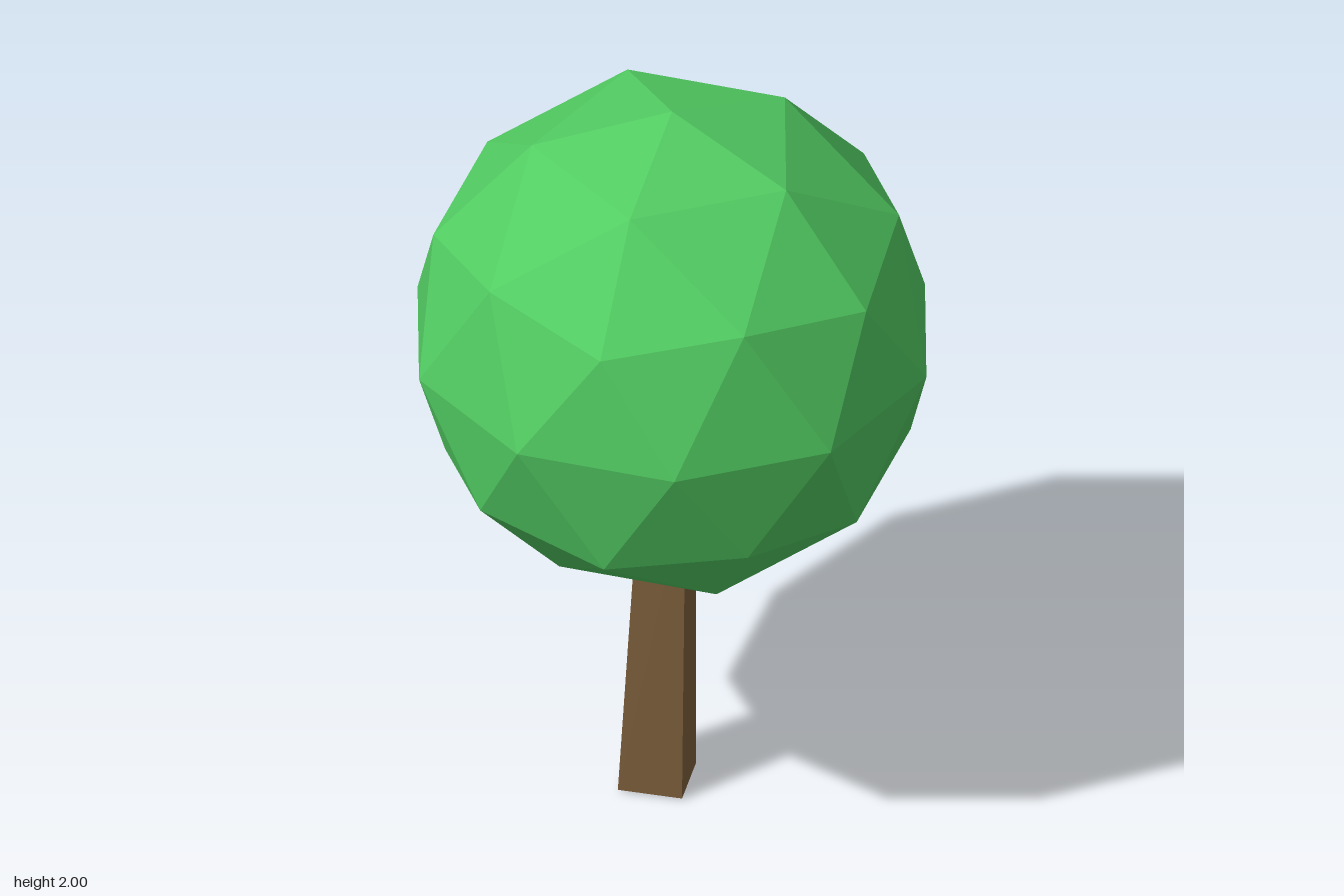
import * as THREE from 'three';

const material = (color) => new THREE.MeshStandardMaterial({ color, flatShading: true });

// Faceted ball with one vertex at the top and one upper-ring vertex towards +x
function createFoliage() {
  const geometry = new THREE.IcosahedronGeometry(0.65, 1);
  geometry.rotateZ(-Math.atan(2 / (1 + Math.sqrt(5))));
  geometry.translate(0, 1.35, 0);
  const foliage = new THREE.Mesh(geometry, material(0x52cc62));
  foliage.name = 'foliage';
  return foliage;
}

// Leaning, tapered four-sided trunk whose top is buried in the foliage
function createTrunk() {
  // Corner order: front, right, back, left
  const bottom = [[-0.1, 0.008, 0.087], [0.045, 0.003, 0.021], [-0.019, 0, -0.127], [-0.164, 0.008, -0.061]];
  const upper = [[-0.073, 0.72, 0.053], [0.042, 0.72, 0.005], [-0.007, 0.72, -0.111], [-0.122, 0.72, -0.063]];
  const rings = [bottom, upper].map((ring) => ring.map((c) => new THREE.Vector3(...c)));

  let geometry = new THREE.BoxGeometry(1, 1, 1);
  const position = geometry.attributes.position;
  const p = new THREE.Vector3();
  for (let i = 0; i < position.count; i++) {
    p.fromBufferAttribute(position, i);
    const corner = p.z > 0 ? (p.x < 0 ? 0 : 1) : (p.x > 0 ? 2 : 3);
    // The top continues the taper a little past the foliage surface
    p.lerpVectors(rings[0][corner], rings[1][corner], p.y > 0 ? 1.25 : 0);
    position.setXYZ(i, p.x, p.y, p.z);
  }
  geometry = geometry.toNonIndexed();
  geometry.computeVertexNormals();
  const trunk = new THREE.Mesh(geometry, material(0x7d5f3c));
  trunk.name = 'trunk';
  return trunk;
}

export function createModel() {
  const tree = new THREE.Group();
  tree.name = 'tree';
  tree.add(createFoliage(), createTrunk());
  return tree;
}
